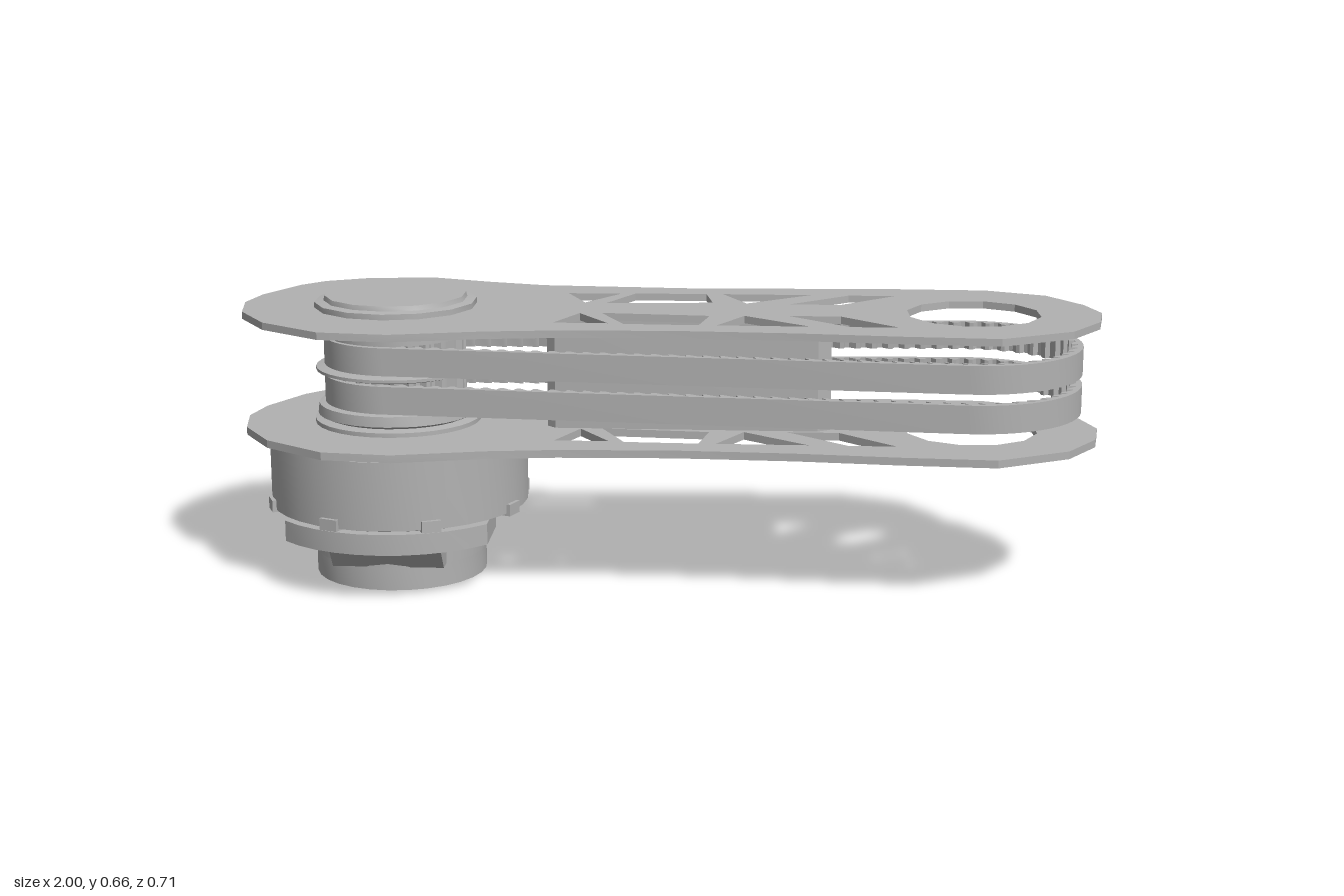
import * as THREE from 'three';
import { toCreasedNormals } from 'three/addons/utils/BufferGeometryUtils.js';

const V = (x, y) => new THREE.Vector2(x, y);
const AXIS_X = -0.64; // motor and drive pulley axis

export function createModel() {
  const model = new THREE.Group();
  model.name = 'beltDrivenArmLink';
  const metal = new THREE.MeshStandardMaterial({ color: 0xb2b2b2 });
  metal.name = 'grey metal';

  const add = (parent, name, geo, x = 0, y = 0, z = 0) => {
    const mesh = new THREE.Mesh(geo, metal);
    mesh.name = name;
    mesh.position.set(x, y, z);
    parent.add(mesh);
    return mesh;
  };
  const group = (name, x = 0) => {
    const g = new THREE.Group();
    g.name = name;
    g.position.x = x;
    model.add(g);
    return g;
  };
  // Flat outline in (x, z), extruded from y0 up to y1
  const slab = (points, holes, y0, y1) => {
    const shape = new THREE.Shape(points);
    for (const h of holes) shape.holes.push(new THREE.Path(h));
    const geo = new THREE.ExtrudeGeometry(shape, { depth: y1 - y0, bevelEnabled: false });
    geo.rotateX(Math.PI / 2).translate(0, y1, 0);
    return toCreasedNormals(geo, 0.4);
  };
  const ring = (r, n, cx = 0, cz = 0, turn = 0) => Array.from({ length: n }, (_, i) => {
    const a = turn + (i / n) * Math.PI * 2;
    return V(cx + r * Math.cos(a), cz + r * Math.sin(a));
  });
  const lathe = (profile, n = 32) =>
    toCreasedNormals(new THREE.LatheGeometry(profile.map(([r, y]) => V(r, y)), n), 0.5);

  // Side plates: wide motor end, narrow waist, rounded far end
  const outline = [
    [-1, -0.01], [-0.98, -0.11], [-0.915, -0.24], [-0.865, -0.295], [-0.76, -0.345], [-0.6, -0.358],
    [-0.46, -0.31], [-0.32, -0.272], [0.03, -0.252], [0.3, -0.262], [0.49, -0.272], [0.75, -0.267],
    [0.89, -0.208], [0.968, -0.096], [1, 0], [0.985, 0.107], [0.915, 0.22], [0.75, 0.312],
    [0.54, 0.3], [0.3, 0.278], [0.03, 0.267], [-0.235, 0.278], [-0.395, 0.3], [-0.6, 0.35],
    [-0.76, 0.333], [-0.905, 0.23], [-0.98, 0.107],
  ].map(([x, z]) => V(x, z));
  const cutouts = [
    [[-0.25, 0.19], [-0.125, 0.19], [-0.2, 0.075]],
    [[-0.15, 0.07], [0.1, 0.09], [0.08, 0.2], [-0.09, 0.195]],
    [[0.12, 0.2], [0.18, 0.085], [0.33, 0.2]],
    [[0.28, 0.08], [0.4, 0.08], [0.53, 0.2], [0.42, 0.2]],
  ];
  const holes = [ring(0.155, 12, 0.705, 0.025, 0.2)];
  for (const c of cutouts) {
    holes.push(c.map(([x, z]) => V(x, z)));
    holes.push(c.map(([x, z]) => V(x, 0.02 - z)));
  }
  add(model, 'lowerPlate', slab(outline, holes, 0.345, 0.363));
  add(model, 'upperPlate', slab(outline, holes, 0.62, 0.637));

  // Central spacer between the plates, with chamfered ends
  const spacer = [[-0.28, -0.03], [-0.26, -0.04], [0.35, -0.04], [0.38, -0.03],
    [0.38, 0.05], [0.35, 0.07], [-0.26, 0.07], [-0.28, 0.05]].map(([x, z]) => V(x, z));
  add(model, 'centralSpacer', slab(spacer, [], 0.363, 0.62));

  // Toothed belts: a loop around two circles, offset inwards for the teeth
  const far = V(0.7, 0.027), near = V(-0.63, 0);
  const tilt = Math.atan2(far.y - near.y, far.x - near.x);
  const beltLoop = (inset) => {
    const r1 = 0.18 - inset, r2 = 0.257 - inset;
    const phi = Math.acos((r1 - r2) / far.distanceTo(near));
    const pts = [];
    const arc = (c, r, from, to) => {
      for (let i = 0; i <= 28; i++) {
        const a = tilt + from + ((to - from) * i) / 28;
        pts.push(V(c.x + r * Math.cos(a), c.y + r * Math.sin(a)));
      }
    };
    arc(far, r2, -phi, phi);
    arc(near, r1, phi, Math.PI * 2 - phi);
    return pts;
  };
  const spaced = (pts, n) => new THREE.Path([...pts, pts[0].clone()]).getSpacedPoints(n).slice(0, n);
  const root = spaced(beltLoop(0.013), 400), tip = spaced(beltLoop(0.027), 400);
  const teeth = root.map((p, i) => (i % 4 < 2 ? p : tip[i]));
  add(model, 'lowerBelt', slab(beltLoop(0), [teeth], 0.415, 0.48));
  add(model, 'upperBelt', slab(beltLoop(0), [teeth], 0.505, 0.57));

  // Drive pulley with flanges and cap
  const pulley = group('drivePulley', AXIS_X);
  const gear = Array.from({ length: 96 }, (_, i) => {
    const a = (i / 96) * Math.PI * 2, r = i % 4 < 2 ? 0.148 : 0.162;
    return V(r * Math.cos(a), r * Math.sin(a));
  });
  add(pulley, 'pulleyTeeth', slab(gear, [], 0.38, 0.575));
  add(pulley, 'lowerFlange', lathe([[0, 0.36], [0.195, 0.364], [0.195, 0.374], [0.17, 0.378],
    [0.188, 0.386], [0.185, 0.41], [0.165, 0.414], [0, 0.414]]));
  add(pulley, 'middleFlange', lathe([[0, 0.483], [0.165, 0.483], [0.19, 0.49], [0.19, 0.497],
    [0.165, 0.502], [0, 0.502]]));
  add(pulley, 'upperFlange', lathe([[0, 0.57], [0.163, 0.57], [0.163, 0.606], [0.18, 0.608],
    [0.195, 0.622], [0, 0.622]]));
  add(pulley, 'topCap', lathe([[0, 0.63], [0.19, 0.63], [0.19, 0.65], [0.168, 0.653],
    [0.165, 0.664], [0, 0.664]], 14));

  // Motor housing with eight clips around the lower rim
  const motor = group('motor', AXIS_X);
  add(motor, 'motorHousing', lathe([[0, 0.166], [0.285, 0.166], [0.304, 0.172], [0.304, 0.333],
    [0.285, 0.345], [0, 0.345]], 36));
  for (let i = 0; i < 8; i++) {
    const a = Math.PI / 8 + (i * Math.PI) / 4;
    const clip = add(motor, 'rimClip', new THREE.BoxGeometry(0.03, 0.028, 0.045),
      0.297 * Math.cos(a), 0.18, 0.297 * Math.sin(a));
    clip.rotation.y = -a;
  }

  // Mounting flange: disc cut flat on both sides, notched for the connector
  const half = 0.235, mount = [];
  const corner = Math.acos(half / 0.315);
  for (const start of [corner, Math.PI + corner]) {
    for (let i = 0; i <= 10; i++) {
      const a = start + ((Math.PI - 2 * corner) * i) / 10;
      mount.push(V(0.315 * Math.cos(a), 0.315 * Math.sin(a)));
    }
  }
  mount.push(V(half, -0.058), V(half - 0.04, -0.058), V(half - 0.04, 0.058), V(half, 0.058));
  add(motor, 'mountingFlange', slab(mount, [], 0.118, 0.167));
  add(motor, 'connector', new THREE.BoxGeometry(0.04, 0.028, 0.085), 0.21, 0.143, 0);

  // Base with hexagonal socket and six screw holes
  const screws = ring(0.135, 6, 0, 0, 0.3).map((p) => ring(0.011, 8, p.x, p.y));
  add(motor, 'baseSocket', slab(ring(0.202, 28), [ring(0.062, 6), ...screws], 0, 0.055));
  add(motor, 'baseCore', new THREE.CylinderGeometry(0.202, 0.202, 0.07, 28), 0, 0.09, 0);

  // Sloping ribs under the mounting flange
  const ribShape = new THREE.Shape([V(0.1, 0.055), V(0.195, 0.055), V(0.245, 0.119), V(0.1, 0.119)]);
  for (const side of [-1, 1]) {
    const geo = new THREE.ExtrudeGeometry(ribShape, { depth: 0.26, bevelEnabled: false });
    geo.translate(0, 0, -0.13).rotateY((side * Math.PI) / 2);
    add(motor, 'slopingRib', geo);
  }
  return model;
}
